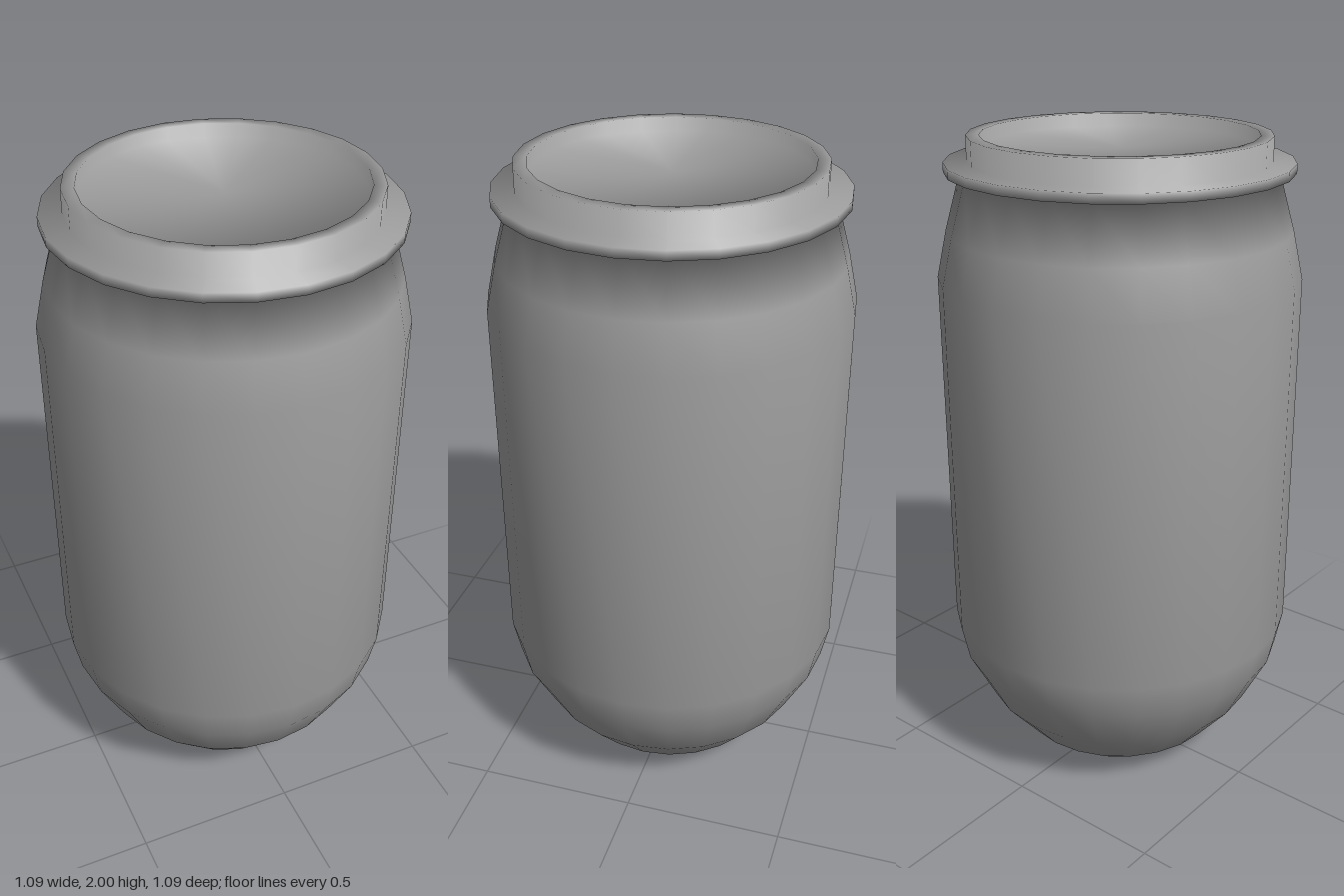
import * as THREE from 'three';

const SIDES = 24;

// Outline as [radius, height], from the middle of the base to the middle of the lid
const OUTLINE = [
  [0, 0], [0.235, 0], [0.335, 0.075], [0.44, 0.2], [0.52, 0.355], [0.543, 0.465],
  [0.543, 1.59], [0.512, 1.73], [0.465, 1.895],
  [0.511, 1.897], [0.511, 1.925], [0.443, 1.927],
  [0.443, 2], [0.405, 2],
  [0.405, 1.96], [0, 1.96],
].map(([r, y]) => new THREE.Vector2(r, y));

// Evenly averaged normal at each outline point, so shading runs smoothly over every corner.
const edgeNormals = OUTLINE.slice(1).map((p, i) => {
  const d = p.clone().sub(OUTLINE[i]).normalize();
  return new THREE.Vector2(d.y, -d.x);
});
const NORMALS = OUTLINE.map((_, i) => {
  const before = edgeNormals[Math.max(i - 1, 0)];
  const after = edgeNormals[Math.min(i, edgeNormals.length - 1)];
  return before.clone().add(after).normalize();
});

// Turns the outline points first..last around the upright axis.
function turned(name, first, last, material) {
  const points = OUTLINE.slice(first, last + 1);
  const geometry = new THREE.LatheGeometry(points, SIDES);
  const normal = geometry.attributes.normal;
  for (let i = 0; i < normal.count; i++) {
    const n = NORMALS[first + (i % points.length)];
    const angle = (Math.floor(i / points.length) / SIDES) * Math.PI * 2;
    normal.setXYZ(i, n.x * Math.sin(angle), n.y, n.x * Math.cos(angle));
  }
  const mesh = new THREE.Mesh(geometry, material);
  mesh.name = name;
  return mesh;
}

export function createModel() {
  const group = new THREE.Group();
  const material = new THREE.MeshStandardMaterial({ color: 0x9c9c9c });

  group.add(
    turned('body', 0, 8, material),
    turned('flange', 8, 11, material),
    turned('neck', 11, 13, material),
    turned('recessedLid', 13, 15, material),
  );
  return group;
}
